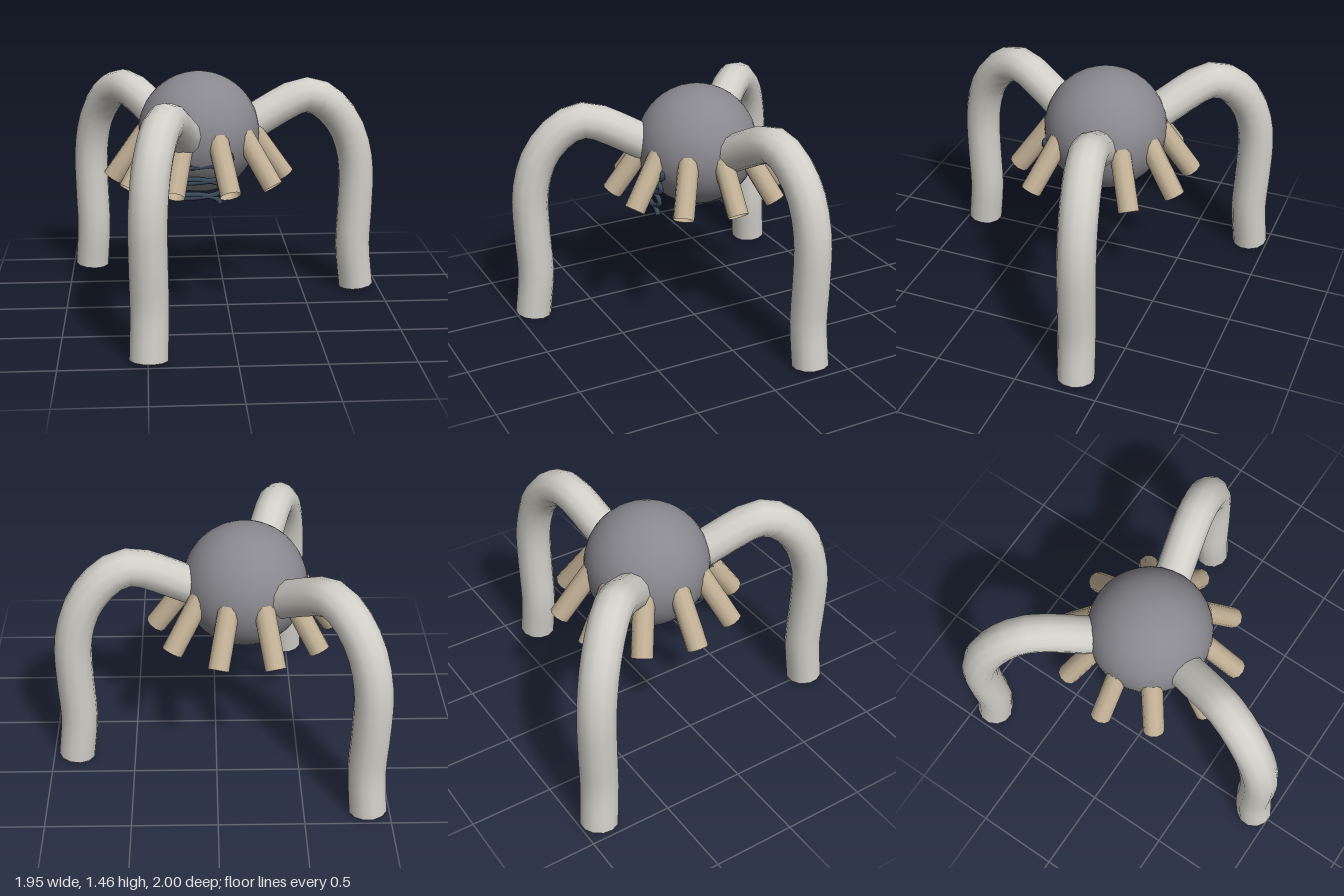
import * as THREE from 'three';

const mat = (name, color, side = THREE.FrontSide) => {
  const m = new THREE.MeshStandardMaterial({ color, side });
  m.name = name;
  return m;
};

export function createModel() {
  const model = new THREE.Group();
  model.name = 'tripod';
  const bodyGrey = mat('bodyGrey', 0x88888e);
  const legGrey = mat('legGrey', 0xd0cfc8, THREE.DoubleSide);
  const tan = mat('tan', 0xc2b196, THREE.DoubleSide);
  const darkBlue = mat('darkBlue', 0x3a4a5a);

  // everything is arranged around the axis of the ball
  const rig = new THREE.Group();
  rig.name = 'ballRig';
  rig.position.set(-0.17, 0, -0.105);
  model.add(rig);

  const add = (name, geometry, material, angle = 0) => {
    const mesh = new THREE.Mesh(geometry, material);
    mesh.name = name;
    mesh.rotation.y = -THREE.MathUtils.degToRad(angle);
    rig.add(mesh);
    return mesh;
  };

  // ball body
  add('body', new THREE.SphereGeometry(0.37, 32, 24), bodyGrey).position.y = 1.105;

  // three arched legs: open tubes, bent in a radial plane
  const legPath = new THREE.CatmullRomCurve3([
    [0.26, 1.1], [0.38, 1.165], [0.54, 1.25], [0.66, 1.297], [0.765, 1.28], [0.865, 1.21],
    [0.957, 1.09], [1.01, 0.95], [1.034, 0.8], [1.032, 0.55], [1.023, 0.3], [1.052, 0.027],
  ].map(([r, y]) => new THREE.Vector3(r, y, 0)));
  const legGeometry = new THREE.TubeGeometry(legPath, 20, 0.112, 12, false);
  for (const angle of [-12, 108, 228]) add('leg', legGeometry, legGrey, angle);

  // ring of ten open pipes slanting down and outwards
  const inner = new THREE.Vector3(0.32, 1.12, 0);
  const outer = new THREE.Vector3(0.53, 0.825, 0);
  const pipeGeometry = new THREE.CylinderGeometry(0.064, 0.064, inner.distanceTo(outer), 10, 1, true);
  pipeGeometry.applyQuaternion(new THREE.Quaternion().setFromUnitVectors(
    new THREE.Vector3(0, 1, 0), inner.clone().sub(outer).normalize()));
  const middle = inner.clone().add(outer).multiplyScalar(0.5);
  pipeGeometry.translate(middle.x, middle.y, middle.z);
  for (let i = 0; i < 10; i++) add('pipe', pipeGeometry, tan, i * 36);

  // flattened coil, widening upwards, at the front of the ball
  const turns = 3.5;
  const coil = [];
  for (let i = 0; i <= turns * 16; i++) {
    const t = i / 16;
    const a = t * Math.PI * 2;
    const r = 0.113 + t * 0.024;
    coil.push(new THREE.Vector3(r * Math.cos(a), 0.735 + t * 0.092 + 0.03 * Math.sin(a), 0.325));
  }
  add('coil', new THREE.TubeGeometry(new THREE.CatmullRomCurve3(coil), 120, 0.016, 8, false), darkBlue);

  return model;
}
